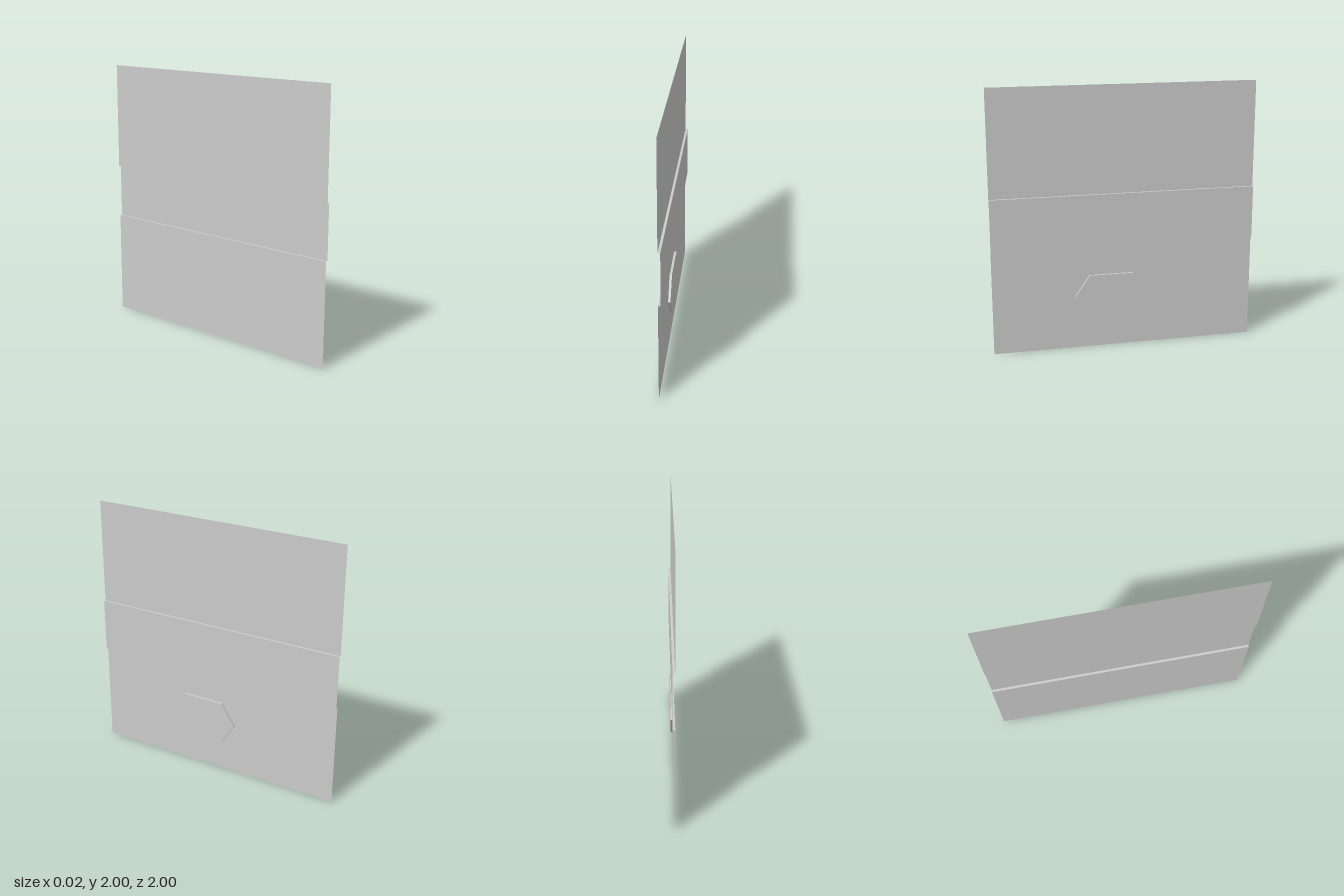
import * as THREE from 'three';

export function createModel() {
  const group = new THREE.Group();
  const material = new THREE.MeshStandardMaterial({ color: 0xcccccc, side: THREE.DoubleSide, flatShading: true });
  const depth = 0.009; // half the step between the two sheet levels
  const length = 2, bandBottom = 0.786, bandTop = 1.195;

  const add = (name, geometry, x, y) => {
    const mesh = new THREE.Mesh(geometry, material);
    mesh.name = name;
    mesh.position.set(x, y, 0);
    group.add(mesh);
  };

  // Upright thin panels facing +x
  const panel = (name, y0, y1, x) =>
    add(name, new THREE.PlaneGeometry(length, y1 - y0).rotateY(Math.PI / 2), x, (y0 + y1) / 2);
  panel('lowerPanel', 0, bandBottom, -depth);
  panel('raisedBand', bandBottom, bandTop, depth);
  panel('upperPanel', bandTop, 2, -depth);

  // Narrow ledges joining the band to the panels
  const ledge = (name, y, turn) =>
    add(name, new THREE.PlaneGeometry(2 * depth, length).rotateX(turn), 0, y);
  ledge('bandLowerLedge', bandBottom, Math.PI / 2);
  ledge('bandUpperLedge', bandTop, -Math.PI / 2);

  // Raised hexagonal boss on the lower panel (shape x runs towards -z)
  const hexagon = new THREE.Shape([
    [-0.385, 0.403], [-0.27, 0.235], [0.064, 0.235],
    [0.174, 0.403], [0.064, 0.572], [-0.27, 0.572],
  ].map(([x, y]) => new THREE.Vector2(x, y)));
  const boss = new THREE.ExtrudeGeometry(hexagon, { depth: 2 * depth, bevelEnabled: false });
  add('hexagonalBoss', boss.rotateY(Math.PI / 2), -depth, 0);

  return group;
}
